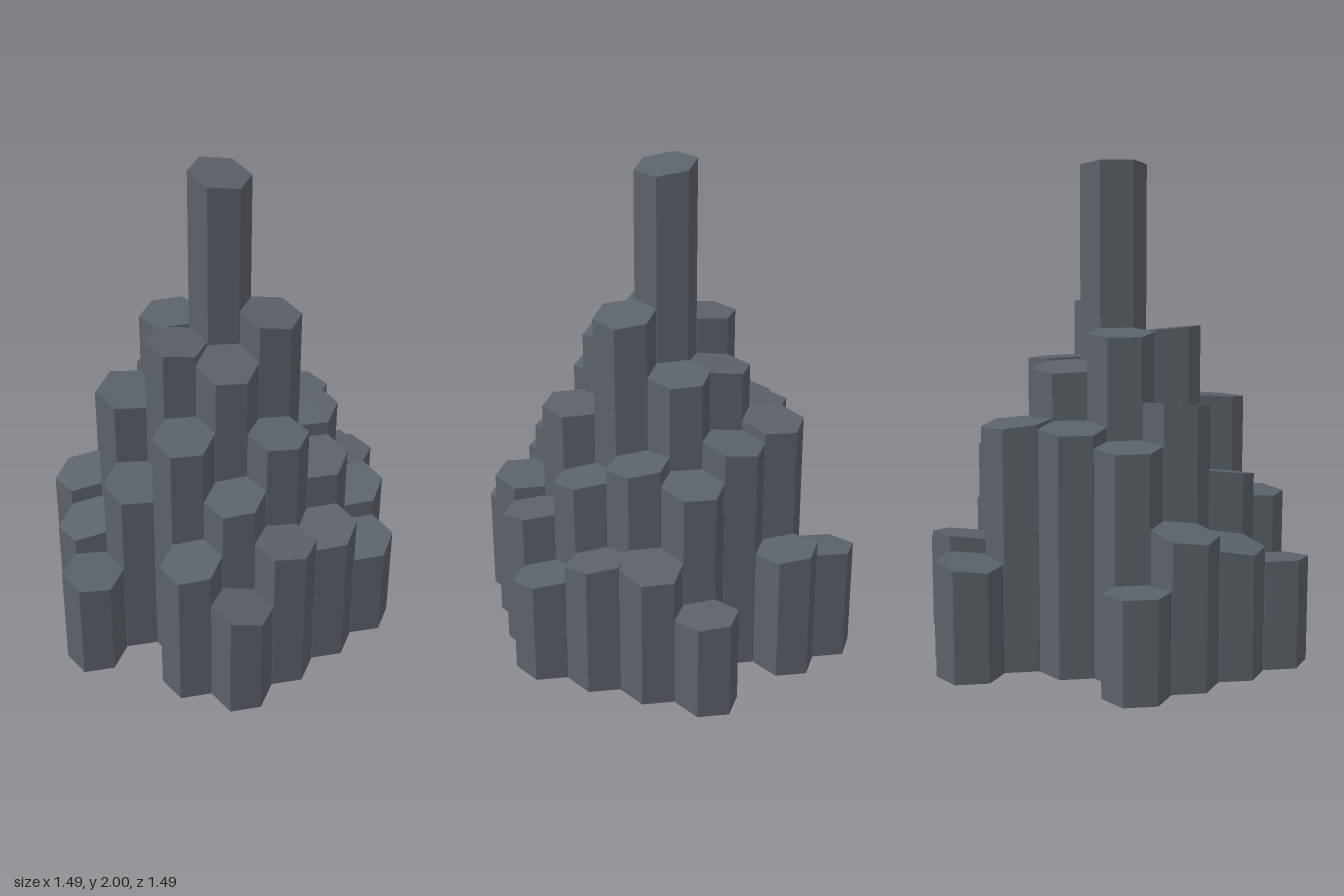
import * as THREE from 'three';

// Hexagonal grid: column pitch in x, row pitch in z, and the hexagon radii
const PITCH_X = 0.2137, PITCH_Z = 0.2036;
const RADIUS_X = 0.1222, RADIUS_Z = 0.1343;

// Rows from back to front; each column is
// [x in pitches, mean height, rise of the top across x, rise of the top across z]
const ROWS = {
  '-3': [[-1.5, 0.46, 0.02, -0.03], [-0.5, 0.52, -0.02, -0.03], [1.5, 0.385, -0.01, -0.03]],
  '-2': [[-1, 0.985, -0.01, 0.03], [0, 0.945, 0.01, 0.02], [1, 0.83, -0.01, 0.02], [2, 0.55, -0.02, 0.03]],
  '-1': [[-1.5, 0.98, 0.02, 0], [-0.5, 1.19, 0.02, 0.01], [0.5, 1.2, -0.02, 0.01], [1.5, 0.88, -0.02, -0.03],
    [2.5, 0.53, -0.01, -0.05]],
  '0': [[-3, 0.41, -0.01, 0], [-2, 0.92, 0.01, 0], [-1, 1.335, 0.01, 0], [0, 1.98, -0.04, 0],
    [1, 1.42, -0.035, 0.01], [2, 0.785, -0.02, -0.04], [3, 0.42, -0.015, -0.04]],
  '1': [[-2.5, 0.605, 0.03, -0.03], [-1.5, 1.065, -0.035, -0.02], [-0.5, 1.335, -0.025, 0.02],
    [0.5, 1.28, -0.035, -0.03], [1.5, 1.005, -0.015, 0.01], [2.5, 0.6, -0.01, -0.04]],
  '2': [[-2, 0.53, 0.03, -0.04], [-1, 0.77, -0.035, -0.03], [0, 1.045, -0.02, -0.02],
    [1, 0.81, 0.01, -0.015], [2, 0.645, -0.012, 0.02]],
  '3': [[-1.5, 0.435, -0.022, 0], [0.5, 0.612, 0.005, -0.02], [1.5, 0.447, -0.035, 0.04]],
};

// Six-sided prism standing on the ground with a slanted top
function columnGeometry(height, riseX, riseZ) {
  const geometry = new THREE.CylinderGeometry(1, 1, 1, 6).toNonIndexed();
  geometry.translate(0, 0.5, 0).scale(RADIUS_X, 1, RADIUS_Z);
  const p = geometry.attributes.position;
  for (let i = 0; i < p.count; i++) {
    if (p.getY(i) < 0.5) continue;
    const slantX = riseX * p.getX(i) / (RADIUS_X * Math.sqrt(3));
    const slantZ = riseZ * p.getZ(i) / (RADIUS_Z * 2);
    p.setY(i, height + slantX + slantZ);
  }
  geometry.computeVertexNormals();
  return geometry;
}

export function createModel() {
  const model = new THREE.Group();
  model.name = 'basaltColumns';
  const rock = new THREE.MeshStandardMaterial({ color: 0x5c626a, flatShading: true });

  for (const [row, columns] of Object.entries(ROWS)) {
    const group = new THREE.Group();
    group.name = 'columnRow';
    group.position.z = Number(row) * PITCH_Z;
    for (const [ix, height, riseX, riseZ] of columns) {
      const column = new THREE.Mesh(columnGeometry(height, riseX, riseZ), rock);
      column.name = ix === 0 && row === '0' ? 'centralColumn' : 'column';
      column.position.x = ix * PITCH_X;
      group.add(column);
    }
    model.add(group);
  }
  return model;
}
